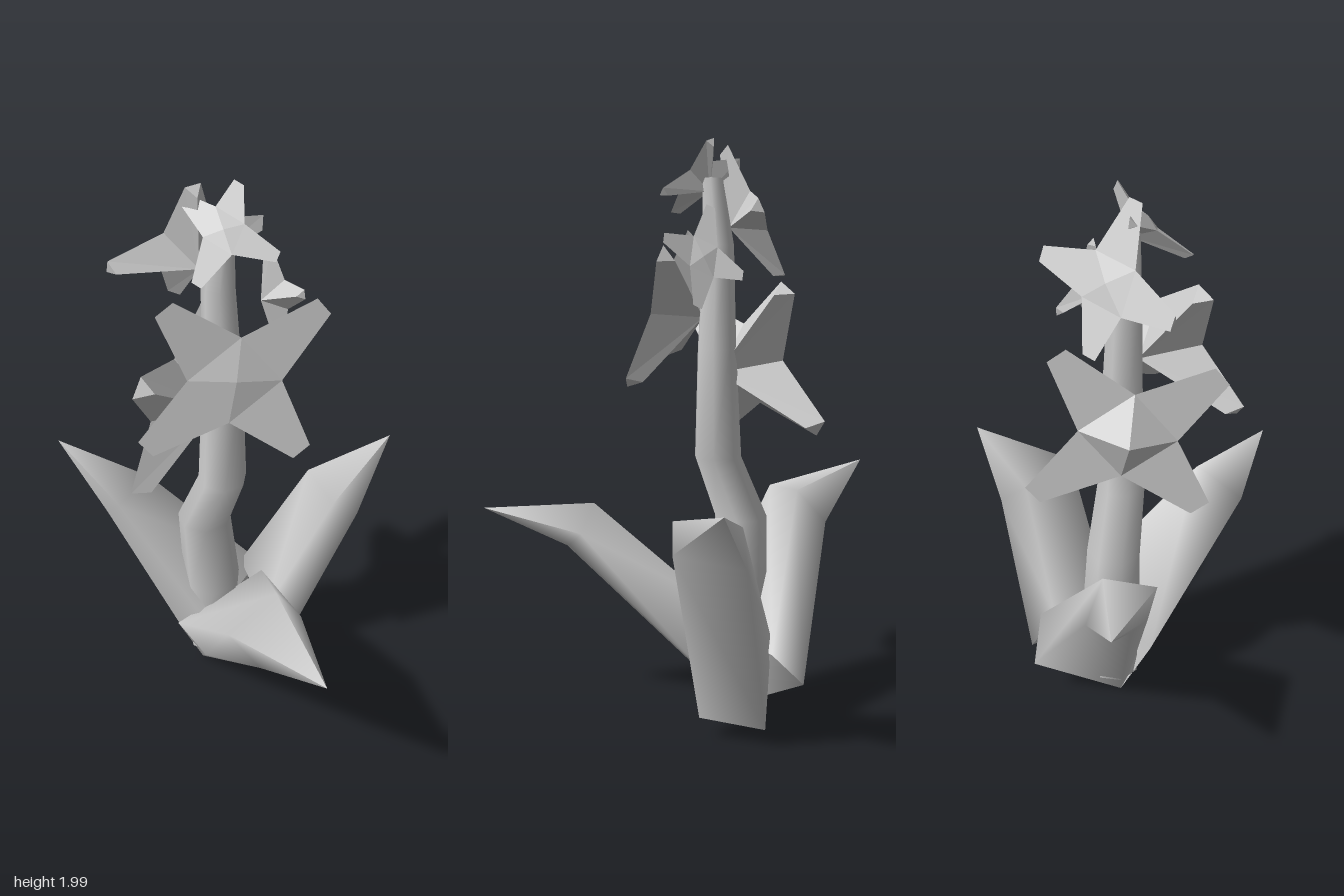
import * as THREE from 'three';

const material = new THREE.MeshStandardMaterial({ color: 0xcccccc, side: THREE.DoubleSide });
const V = (p) => new THREE.Vector3(...p);

// Skin over a row of rings with equal point counts; the first and last rings are capped.
function loft(rings) {
  const n = rings[0].length, pos = [], idx = [];
  rings.forEach((r) => r.forEach((p) => pos.push(...p)));
  for (let i = 0; i < rings.length - 1; i++) {
    for (let j = 0; j < n; j++) {
      const a = i * n + j, b = i * n + (j + 1) % n;
      idx.push(a, a + n, b, b, a + n, b + n);
    }
  }
  for (const [ring, flip] of [[rings[0], false], [rings[rings.length - 1], true]]) {
    const start = pos.length / 3;
    ring.forEach((p) => pos.push(...p));
    for (let j = 1; j < n - 1; j++) {
      idx.push(start, start + (flip ? j + 1 : j), start + (flip ? j : j + 1));
    }
  }
  const g = new THREE.BufferGeometry();
  g.setAttribute('position', new THREE.Float32BufferAttribute(pos, 3));
  g.setIndex(idx);
  g.computeVertexNormals();
  return g;
}

// Star flower from its four petal tips: square hub, blunt petals, keeled backs.
// bulge raises the middle of the hub, as a share of the flower's radius.
function flowerGeometry({ bulge, tips: tipPoints }) {
  const tips = tipPoints.map(V);
  const center = new THREE.Vector3();
  tips.forEach((t) => center.addScaledVector(t, 0.25));
  const normal = tips[2].clone().sub(tips[0]).cross(tips[3].clone().sub(tips[1])).normalize();
  const radius = tips.reduce((s, t) => s + t.distanceTo(center), 0) / 4;
  // Point the normal away from the stem.
  if (normal.dot(center.clone().sub(new THREE.Vector3(0, center.y - 0.05, 0.07))) < 0) normal.negate();

  const front = center.clone().addScaledVector(normal, bulge * radius);
  const back = center.clone().addScaledVector(normal, -0.45 * radius);
  const corner = tips.map((t, i) =>
    center.clone().lerp(t.clone().add(tips[(i + 1) % 4]).multiplyScalar(0.5), 0.6));
  const pos = [];
  const tri = (...ps) => ps.forEach((p) => pos.push(p.x, p.y, p.z));
  tips.forEach((tip, i) => {
    const a = corner[(i + 3) % 4], b = corner[i];
    const across = b.clone().sub(a).normalize().multiplyScalar(0.1 * radius);
    const ta = tip.clone().sub(across), tb = tip.clone().add(across);
    const under = tip.clone().lerp(center, 0.06).addScaledVector(normal, -0.15 * radius);
    tri(front, a, b);
    tri(a, ta, b); tri(b, ta, tb);
    tri(a, back, ta); tri(ta, back, under);
    tri(b, tb, back); tri(tb, under, back);
    tri(ta, under, tb);
  });
  const g = new THREE.BufferGeometry();
  g.setAttribute('position', new THREE.Float32BufferAttribute(pos, 3));
  g.computeVertexNormals();
  return g;
}

// Bent stalk: [x, y, z, radius]
const STEM = [
  [-0.07, 0.12, 0.06, 0.09], [-0.07, 0.42, 0.05, 0.105], [-0.09, 0.71, 0.06, 0.094],
  [-0.003, 0.93, 0.07, 0.083], [0, 1.3, 0.07, 0.068], [-0.01, 1.65, 0.075, 0.054], [0.01, 1.87, 0.08, 0.036],
];

// Leaves: base section, bend section, tip
const LEAVES = {
  frontLeaf: {
    base: [[-0.12, 0.27, 0.2], [-0.04, 0.09, 0.14], [-0.09, 0.01, 0.09], [0.17, 0.26, -0.11], [0.09, 0.46, -0.04]],
    bend: [[0.29, 0.69, 0.475], [0.4, 0.585, 0.455], [0.415, 0.6, 0.4], [0.43, 0.67, 0.26], [0.36, 0.765, 0.3]],
    tip: [0.68, 0.74, 0.53],
  },
  sideLeaf: {
    base: [[-0.04, 0.3, -0.225], [-0.17, 0.17, -0.225], [-0.09, 0.01, 0.09], [-0.16, 0.17, 0.13], [0, 0.3, 0.17]],
    bend: [[-0.33, 0.78, 0.06], [-0.43, 0.66, 0.02], [-0.43, 0.65, 0.17], [-0.4, 0.69, 0.22], [-0.33, 0.77, 0.24]],
    tip: [-0.68, 0.85, 0.145],
  },
  backLeaf: {
    base: [[0.13, 0.3, 0], [0.168, 0.08, -0.1], [0.02, 0.07, -0.28], [-0.08, 0.33, -0.16]],
    bend: [[0.3, 0.785, -0.17], [0.35, 0.7, -0.26], [0.17, 0.66, -0.41], [0.12, 0.77, -0.3]],
    tip: [0.325, 0.87, -0.53],
  },
};

// Petal tips in order around each flower
const FLOWERS = {
  largeFrontFlower: {
    bulge: 0.05, tips: [[-0.03, 1.69, 0.32], [0.28, 1.62, -0.06], [0.32, 1.2, 0.11], [-0.02, 1.28, 0.45]],
  },
  lowerSideFlower: {
    bulge: 0.28, tips: [[-0.17, 1.51, -0.11], [-0.26, 1.04, -0.18], [-0.16, 0.98, 0.35], [-0.09, 1.44, 0.39]],
  },
  upperSideFlower: {
    bulge: 0.06, tips: [[-0.07, 1.98, 0.11], [-0.29, 1.72, 0.25], [-0.23, 1.55, 0], [-0.02, 1.77, -0.18]],
  },
  topFlower: {
    bulge: 0.06, tips: [[0.04, 1.99, 0.04], [0.2, 1.82, 0.08], [0.05, 1.77, 0.27], [-0.11, 1.93, 0.11]],
  },
  smallBackFlower: {
    bulge: 0.06, tips: [[0.09, 1.77, -0.05], [0.24, 1.67, -0.01], [0.14, 1.45, -0.05], [0.03, 1.55, -0.15]],
  },
};

export function createModel() {
  const plant = new THREE.Group();
  plant.name = 'floweringPlant';
  const add = (name, geometry) => {
    const mesh = new THREE.Mesh(geometry, material);
    mesh.name = name;
    plant.add(mesh);
  };

  // Stalk
  add('stem', loft(STEM.map(([x, y, z, r]) =>
    Array.from({ length: 7 }, (_, i) => {
      const t = (i / 7) * Math.PI * 2;
      return [x + r * Math.cos(t), y, z + r * Math.sin(t)];
    }))));

  // Thick leaves, narrowing to a point past the bend
  for (const [name, { base, bend, tip }] of Object.entries(LEAVES)) {
    add(name, loft([base, bend, bend.map(() => tip)]));
  }

  // Blossoms
  for (const [name, flower] of Object.entries(FLOWERS)) add(name, flowerGeometry(flower));

  return plant;
}
